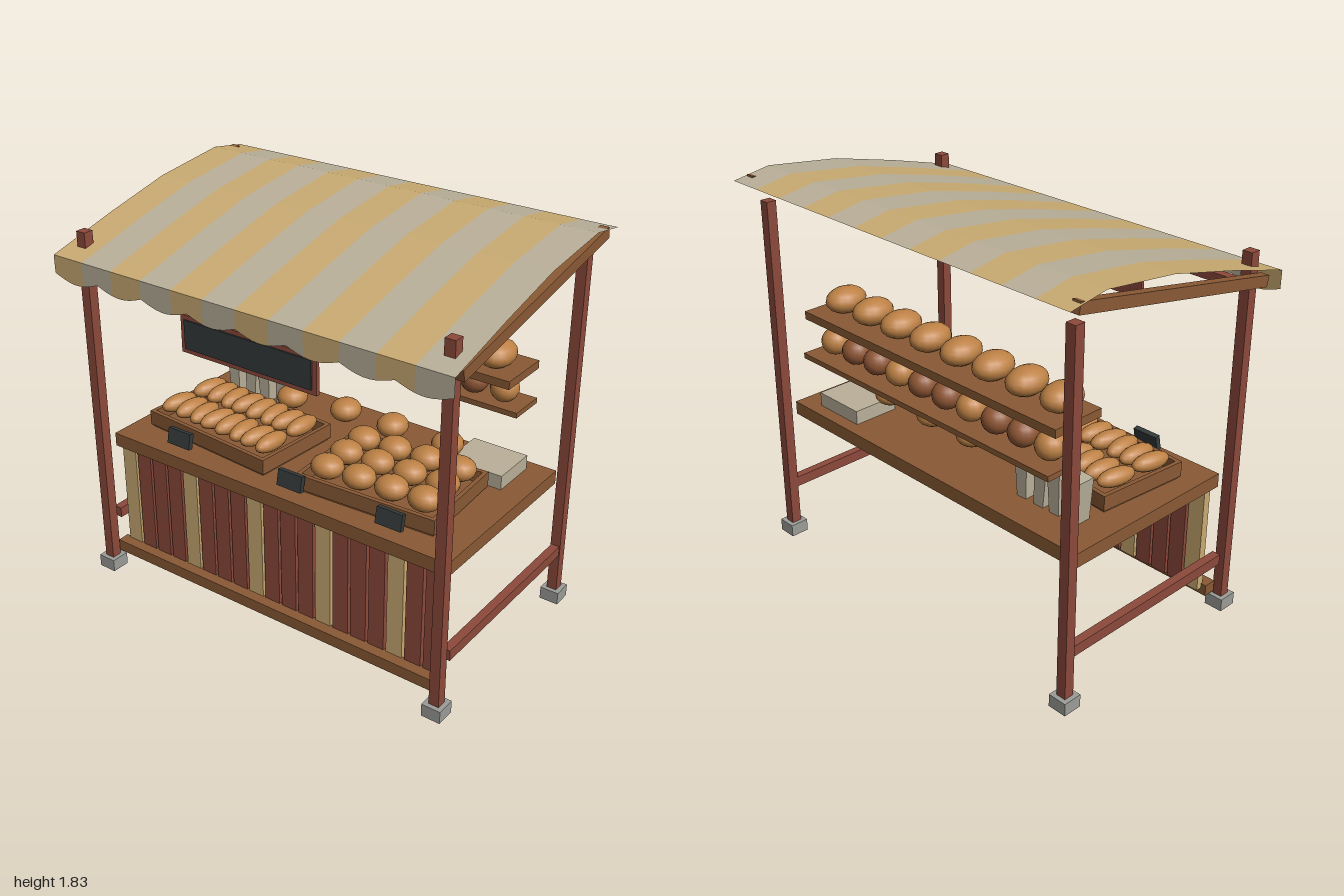
import * as THREE from 'three';

const mat = (name, color, side = THREE.FrontSide) => {
  const m = new THREE.MeshStandardMaterial({ color, side });
  m.name = name;
  return m;
};

export function createModel() {
  const model = new THREE.Group();
  model.name = 'breadStall';
  const red = mat('redWood', 0x8c4a3b);
  const wood = mat('brownWood', 0x8a5a35);
  const yellow = mat('strawYellow', 0xcaab72, THREE.DoubleSide);
  const cream = mat('cream', 0xbab09a, THREE.DoubleSide);
  const stone = mat('stoneGrey', 0x9c9c98);
  const slate = mat('slate', 0x343a3b);
  const crust = mat('goldenCrust', 0xbd8145);
  const darkCrust = mat('darkCrust', 0x8f5735);

  const add = (name, geo, material, x, y, z, parent = model) => {
    const m = new THREE.Mesh(geo, material);
    m.name = name;
    m.position.set(x, y, z);
    parent.add(m);
    return m;
  };
  // Box given by its extents on each axis
  const block = (name, material, [x0, x1], [y0, y1], [z0, z1], parent = model) =>
    add(name, new THREE.BoxGeometry(x1 - x0, y1 - y0, z1 - z0), material,
      (x0 + x1) / 2, (y0 + y1) / 2, (z0 + z1) / 2, parent);
  const ball = new THREE.SphereGeometry(1, 16, 10);
  const bread = (name, material, x, y, z, rx, ry, rz, parent = model) => {
    const m = add(name, ball, material, x, y, z, parent);
    m.scale.set(rx, ry, rz);
    return m;
  };

  // Posts, feet, side stretchers and rafters
  for (const s of [-1, 1]) {
    for (const z of [-0.51, 0.51]) {
      add('post', new THREE.BoxGeometry(0.048, 1.66, 0.048), red, s * 0.92, 0.875, z);
      add('foot', new THREE.BoxGeometry(0.09, 0.06, 0.09), stone, s * 0.92, 0.03, z);
    }
    add('sideStretcher', new THREE.BoxGeometry(0.04, 0.05, 0.95), red, s * 0.92, 0.272, -0.02);
    const rafter = add('rafter', new THREE.BoxGeometry(0.04, 0.05, 1.13), wood, s * 0.97, 1.688, -0.01);
    rafter.rotation.x = 0.187;
  }
  block('frontBeam', red, [-0.92, 0.92], [1.53, 1.57], [0.49, 0.53]);

  // Counter with slatted front
  block('counterTop', wood, [-0.905, 0.905], [0.635, 0.7], [-0.455, 0.445]);
  block('bottomRail', wood, [-0.905, 0.905], [0.075, 0.13], [0.42, 0.48]);
  for (let i = 0; i < 19; i++) {
    const x = -0.838 + i * 0.0931;
    block('frontSlat', i % 4 ? red : yellow, [x - 0.04, x + 0.04], [0.105, 0.635], [0.392, 0.43]);
  }

  // Hanging sign board
  block('signFrame', red, [-0.35, 0.345], [1.312, 1.482], [0.535, 0.552]);
  block('signPanel', slate, [-0.328, 0.322], [1.333, 1.462], [0.552, 0.559]);

  // Striped awning: folded roof sheet and scalloped valance
  const profile = [[0.622, 1.612], [0.27, 1.705], [-0.07, 1.785], [-0.44, 1.83], [-0.625, 1.8]];
  const hem = x => 1.53 - 0.03 * Math.abs(Math.sin((x + 1) * 4 * Math.PI));
  const sheet = quads => {
    const p = [];
    for (const [a, b, c, d] of quads) p.push(...a, ...b, ...c, ...a, ...c, ...d);
    const g = new THREE.BufferGeometry();
    g.setAttribute('position', new THREE.Float32BufferAttribute(p, 3));
    g.computeVertexNormals();
    return g;
  };
  for (let i = 0; i < 12; i++) {
    const x0 = -1 + i / 6, x1 = x0 + 1 / 6;
    const quads = [];
    for (let k = 0; k < profile.length - 1; k++) {
      const [z0, y0] = profile[k], [z1, y1] = profile[k + 1];
      quads.push([[x0, y0, z0], [x1, y0, z0], [x1, y1, z1], [x0, y1, z1]]);
    }
    for (let k = 0; k < 6; k++) {
      const a = x0 + k / 36, b = a + 1 / 36;
      quads.push([[a, hem(a), 0.622], [b, hem(b), 0.622], [b, 1.612, 0.622], [a, 1.612, 0.622]]);
    }
    add('awningStripe', sheet(quads), i % 2 ? cream : yellow, 0, 0, 0);
  }

  // Shelves with rows of loaves
  block('upperShelf', wood, [-0.785, 0.78], [1.165, 1.203], [-0.455, -0.197]);
  block('lowerShelf', wood, [-0.777, 0.77], [0.983, 1.008], [-0.483, -0.302]);
  for (let i = 0; i < 8; i++)
    bread('ovalLoaf', crust, -0.682 + i * 0.1915, 1.258, -0.312, 0.076, 0.06, 0.101);
  for (let i = 0; i < 10; i++)
    bread('roundLoaf', i % 3 ? darkCrust : crust, -0.687 + i * 0.1503, 1.07, -0.377, 0.065, 0.062, 0.067);

  // Shallow trays on the counter
  const tray = (x, z, w, d, turn) => {
    const g = new THREE.Group();
    g.name = 'tray';
    g.position.set(x, 0.7, z);
    g.rotation.y = turn;
    model.add(g);
    block('trayFloor', wood, [-w / 2 + 0.01, w / 2 - 0.01], [0, 0.025], [-d / 2 + 0.01, d / 2 - 0.01], g);
    for (const s of [-1, 1]) {
      add('trayLongSide', new THREE.BoxGeometry(w, 0.07, 0.02), wood, 0, 0.047, s * (d / 2 - 0.01), g);
      add('trayShortSide', new THREE.BoxGeometry(0.02, 0.07, d - 0.04), wood, s * (w / 2 - 0.01), 0.047, 0, g);
    }
    return g;
  };
  const leftTray = tray(-0.44, 0.1, 0.72, 0.45, -0.08);
  for (let r = 0; r < 2; r++)
    for (let i = 0; i < 8; i++) {
      const roll = bread('longRoll', crust, -0.295 + i * 0.084, 0.1, 0.1 - r * 0.2, 0.042, 0.04, 0.095, leftTray);
      roll.rotation.y = (i % 3 - 1) * 0.12;
    }
  const rightTray = tray(0.41, 0.105, 0.68, 0.47, 0.05);
  for (const z of [0.13, -0.02, -0.165])
    for (let i = 0; i < 4; i++)
      bread('bun', crust, -0.245 + i * 0.16, 0.1, z, 0.076, 0.053, 0.07, rightTray);

  // Loose loaves behind the trays
  for (const [x, z] of [[-0.34, -0.17], [-0.06, -0.21], [0.2, -0.21], [0.49, -0.21]])
    bread('looseLoaf', crust, x, 0.81, z, 0.072, 0.053, 0.077);

  // Paper bags, narrower at the base
  [-0.74, -0.635, -0.555, -0.45].forEach((x, i) => {
    const g = new THREE.BoxGeometry(0.07, 0.2, 0.08);
    const p = g.attributes.position;
    for (let k = 0; k < p.count; k++) if (p.getY(k) < 0) p.setX(k, p.getX(k) * 0.75);
    g.computeVertexNormals();
    add('paperBag', g, cream, x, 0.8, -0.26).rotation.z = (i % 2 ? -1 : 1) * 0.04;
  });

  // Stack of wrapping paper
  block('paperStack', cream, [0.52, 0.79], [0.7, 0.767], [-0.393, -0.167]);

  // Small price boards leaning on the trays
  for (const x of [-0.555, 0.075, 0.585])
    add('priceBoard', new THREE.BoxGeometry(0.127, 0.075, 0.025), slate, x, 0.758, 0.38).rotation.x = -0.2;

  return model;
}
